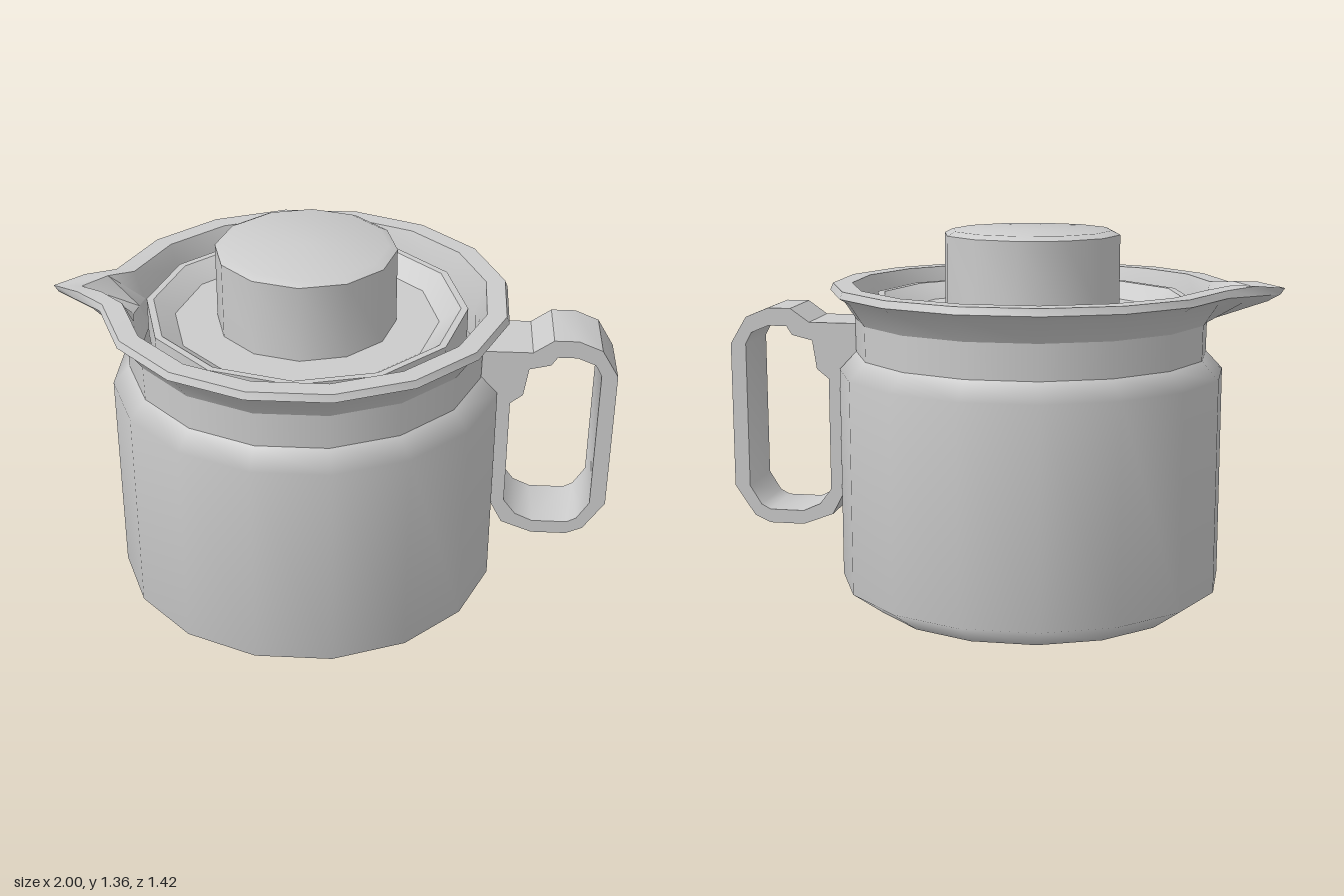
import * as THREE from 'three';
import { toCreasedNormals } from 'three/addons/utils/BufferGeometryUtils.js';

const CX = -0.1; // axis of the pot
const STEP = Math.PI / 8;
const material = new THREE.MeshStandardMaterial({ color: 0xcccccc, side: THREE.DoubleSide });

function add(group, name, geometry) {
  const mesh = new THREE.Mesh(geometry, material);
  mesh.name = name;
  group.add(mesh);
  return mesh;
}

function lathe(profile, sides, phase) {
  const points = profile.map(([r, y]) => new THREE.Vector2(r, y));
  return new THREE.LatheGeometry(points, sides, phase);
}

const creased = (geometry) => toCreasedNormals(geometry, 0.6);

// Flared rim whose flat on the -x side is pulled out into a pointed spout.
// Each ring: radius, height, x of the spout tip, height of the spout tip.
function rimGeometry() {
  const rings = [
    [0.637, 1.04, -0.74, 1.045],
    [0.69, 1.12, -0.94, 1.115],
    [0.724, 1.14, -0.985, 1.14],
    [0.714, 1.165, -1.0, 1.163],
    [0.645, 1.165, -0.9, 1.163],
    [0.61, 1.06, -0.72, 1.06],
    [0.6, 0.95, -0.69, 0.95],
  ];
  const positions = [];
  const index = [];
  const columns = 19;
  for (const [r, y, tipX, tipY] of rings) {
    const edgeX = CX - r * Math.cos(STEP / 2);
    const edgeZ = r * Math.sin(STEP / 2);
    for (let i = 0; i < 16; i++) {
      const a = -Math.PI + STEP * (i + 0.5);
      positions.push(CX + r * Math.cos(a), y, r * Math.sin(a));
    }
    for (const s of [0.5, 0, -0.5]) {
      const t = 1 - Math.abs(s);
      const bump = t < 1 && y > 1.15 ? 0.012 : 0;
      positions.push(edgeX + (tipX - edgeX) * t, y + (tipY - y) * t + bump, edgeZ * s);
    }
  }
  for (let k = 0; k < rings.length - 1; k++) {
    for (let i = 0; i < columns; i++) {
      const j = (i + 1) % columns;
      const a = k * columns + i, b = k * columns + j;
      const c = b + columns, d = a + columns;
      index.push(a, c, b, a, d, c);
    }
  }
  const geometry = new THREE.BufferGeometry();
  geometry.setAttribute('position', new THREE.Float32BufferAttribute(positions, 3));
  geometry.setIndex(index);
  return creased(geometry);
}

function handleGeometry() {
  const toPoints = (list) => list.map(([x, y]) => new THREE.Vector2(x, y));
  const shape = new THREE.Shape(toPoints([
    [0.51, 1.016], [0.7, 1.016], [0.77, 1.065], [0.855, 1.065], [0.94, 1.03], [1, 0.93],
    [1, 0.395], [0.925, 0.283], [0.866, 0.257], [0.738, 0.257], [0.625, 0.3], [0.575, 0.395],
    [0.565, 0.85], [0.51, 0.915],
  ]));
  shape.holes.push(new THREE.Path(toPoints([
    [0.63, 0.395], [0.63, 0.81], [0.674, 0.845], [0.69, 0.95], [0.765, 0.968], [0.786, 1.0],
    [0.855, 1.0], [0.92, 0.973], [0.943, 0.93], [0.943, 0.395], [0.9, 0.326], [0.866, 0.308],
    [0.738, 0.308], [0.674, 0.337],
  ])));
  const geometry = new THREE.ExtrudeGeometry(shape, { depth: 0.236, bevelEnabled: false });
  geometry.translate(0, 0, -0.118);
  return creased(geometry);
}

export function createModel() {
  const pot = new THREE.Group();
  pot.name = 'pouringPot';

  // Body, base and neck: sixteen sides
  const body = lathe([[0.586, 0], [0.696, 0.08], [0.696, 0.85], [0.635, 0.915]], 16, STEP / 2);
  add(pot, 'body', body).position.x = CX;
  const base = lathe([[0, 0], [0.586, 0]], 16, STEP / 2);
  add(pot, 'base', base).position.x = CX;
  const neck = lathe([[0.635, 0.915], [0.637, 1.04]], 16, STEP / 2);
  add(pot, 'neck', neck).position.x = CX;

  add(pot, 'rimAndSpout', rimGeometry());
  add(pot, 'handle', handleGeometry());

  // Recessed lid with a drum knob: twelve sides
  const lid = new THREE.Group();
  lid.name = 'lid';
  lid.position.x = CX;
  const dish = [[0.57, 0.98], [0.57, 1.12], [0.545, 1.12], [0.47, 1.065], [0, 1.065]];
  add(lid, 'lidDish', creased(lathe(dish, 12, 0)));
  const knob = [[0.318, 1.065], [0.318, 1.34], [0.288, 1.355], [0, 1.355]];
  add(lid, 'knob', creased(lathe(knob, 12, 0)));
  pot.add(lid);

  return pot;
}
